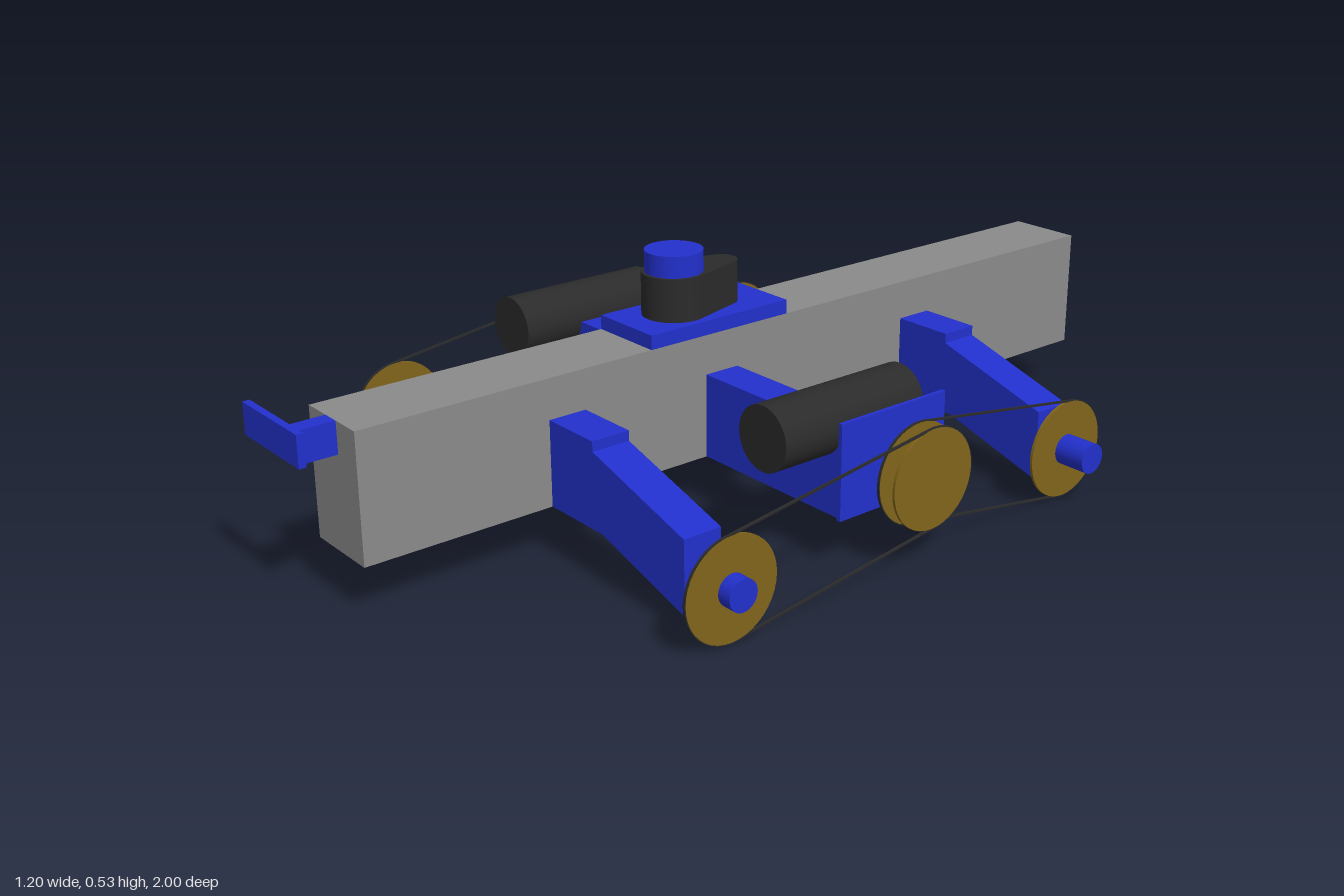
import * as THREE from 'three';

const mat = (color) => new THREE.MeshStandardMaterial({ color });
const GREY = mat(0x8a8a8a), BLUE = mat(0x2230cc), DARK = mat(0x2b2b2b), GOLD = mat(0x80641a);

export function createModel() {
  const model = new THREE.Group();

  const add = (name, geometry, material) => {
    const mesh = new THREE.Mesh(geometry, material);
    mesh.name = name;
    model.add(mesh);
    return mesh;
  };

  // Box given by its min and max along each axis
  const box = (name, material, [x0, x1], [y0, y1], [z0, z1]) =>
    add(name, new THREE.BoxGeometry(Math.abs(x1 - x0), y1 - y0, z1 - z0), material)
      .position.set((x0 + x1) / 2, (y0 + y1) / 2, (z0 + z1) / 2);

  // Cylinder along x, from x0 to x1
  const rod = (name, material, r, x0, x1, y, z) => {
    const mesh = add(name, new THREE.CylinderGeometry(r, r, Math.abs(x1 - x0), 40), material);
    mesh.rotation.z = Math.PI / 2;
    mesh.position.set((x0 + x1) / 2, y, z);
  };

  // Outline wrapped around two circles [u, v, r]; the first lies at the smaller u
  const wrap = (path, [u0, v0, r0], [u1, v1, r1]) => {
    const dir = Math.atan2(v1 - v0, u1 - u0);
    const a = Math.acos((r0 - r1) / Math.hypot(u1 - u0, v1 - v0));
    path.absarc(u1, v1, r1, dir - a, dir + a, false);
    path.absarc(u0, v0, r0, dir + a, dir - a + Math.PI * 2, false);
    path.closePath();
    return path;
  };

  const extrude = (shape, depth) =>
    new THREE.ExtrudeGeometry(shape, { depth, bevelEnabled: false, curveSegments: 24 });

  // Main beam
  box('beam', GREY, [-0.083, 0.083], [0.107, 0.37], [-1, 0.915]);

  // Bracket on the front end
  box('frontBracketStem', BLUE, [-0.02, 0.017], [0.305, 0.37], [0.915, 0.986]);
  box('frontBracketPlate', BLUE, [-0.175, 0.033], [0.305, 0.37], [0.985, 1]);

  // Top mount: plate, teardrop housing and cap
  box('topPlate', BLUE, [-0.083, 0.083], [0.37, 0.4], [-0.09, 0.263]);
  const teardrop = wrap(new THREE.Shape(), [-0.14, 0, 0.067], [-0.015, 0, 0.032]);
  const housing = add('topHousing', extrude(teardrop, 0.09), DARK);
  housing.rotation.set(-Math.PI / 2, 0, Math.PI / 2);
  housing.position.y = 0.4;
  add('topCap', new THREE.CylinderGeometry(0.06, 0.06, 0.045, 40), BLUE).position.set(0, 0.5125, 0.14);

  // Bent arm in the front plane
  const armProfile = [[0.08, 0.107], [0.245, 0.107], [0.488, 0.035], [0.488, 0.186],
    [0.22, 0.265], [0.22, 0.286], [0.08, 0.286]];
  const hubY = 0.107, driveY = 0.175, driveZ = -0.033, pulleyR = 0.104;

  for (const s of [1, -1]) {
    // Middle arm, mounting plate, motor and drive axle
    box('middleArm', BLUE, [s * 0.08, s * 0.482], [0.107, 0.286], [0.043, 0.125]);
    box('motorPlate', BLUE, [s * 0.48, s * 0.489], [0.107, 0.305], [-0.142, 0.133]);
    const motor = add('motor', new THREE.CylinderGeometry(0.066, 0.066, 0.354, 40), DARK);
    motor.rotation.x = Math.PI / 2;
    motor.position.set(s * 0.415, 0.288, 0.087);
    rod('driveAxle', BLUE, 0.027, s * 0.485, s * 0.563, driveY, driveZ);

    // Front and rear arms, each with axle, pulleys and belt
    for (const [end, z, x] of [['front', 0.466, 0.566], ['rear', -0.47, 0.527]]) {
      const shape = new THREE.Shape(armProfile.map(([u, v]) => new THREE.Vector2(s * u, v)));
      add(end + 'Arm', extrude(shape, 0.084), BLUE).position.z = z - 0.042;
      rod(end + 'Axle', BLUE, 0.032, s * 0.485, s * 0.6, hubY, z);
      rod(end + 'Pulley', GOLD, pulleyR, s * (x - 0.003), s * (x + 0.003), hubY, z);
      rod(end + 'DrivePulley', GOLD, pulleyR, s * (x - 0.003), s * (x + 0.003), driveY, driveZ);

      const loop = (path, r) => {
        const ends = [[-z, hubY, r], [-driveZ, driveY, r]].sort((p, q) => p[0] - q[0]);
        return wrap(path, ...ends);
      };
      const beltShape = loop(new THREE.Shape(), pulleyR + 0.002);
      beltShape.holes.push(loop(new THREE.Path(), pulleyR - 0.002));
      const belt = add(end + 'Belt', extrude(beltShape, 0.005), DARK);
      belt.rotation.y = Math.PI / 2;
      belt.position.x = s * x - 0.0025;
    }
  }
  return model;
}
